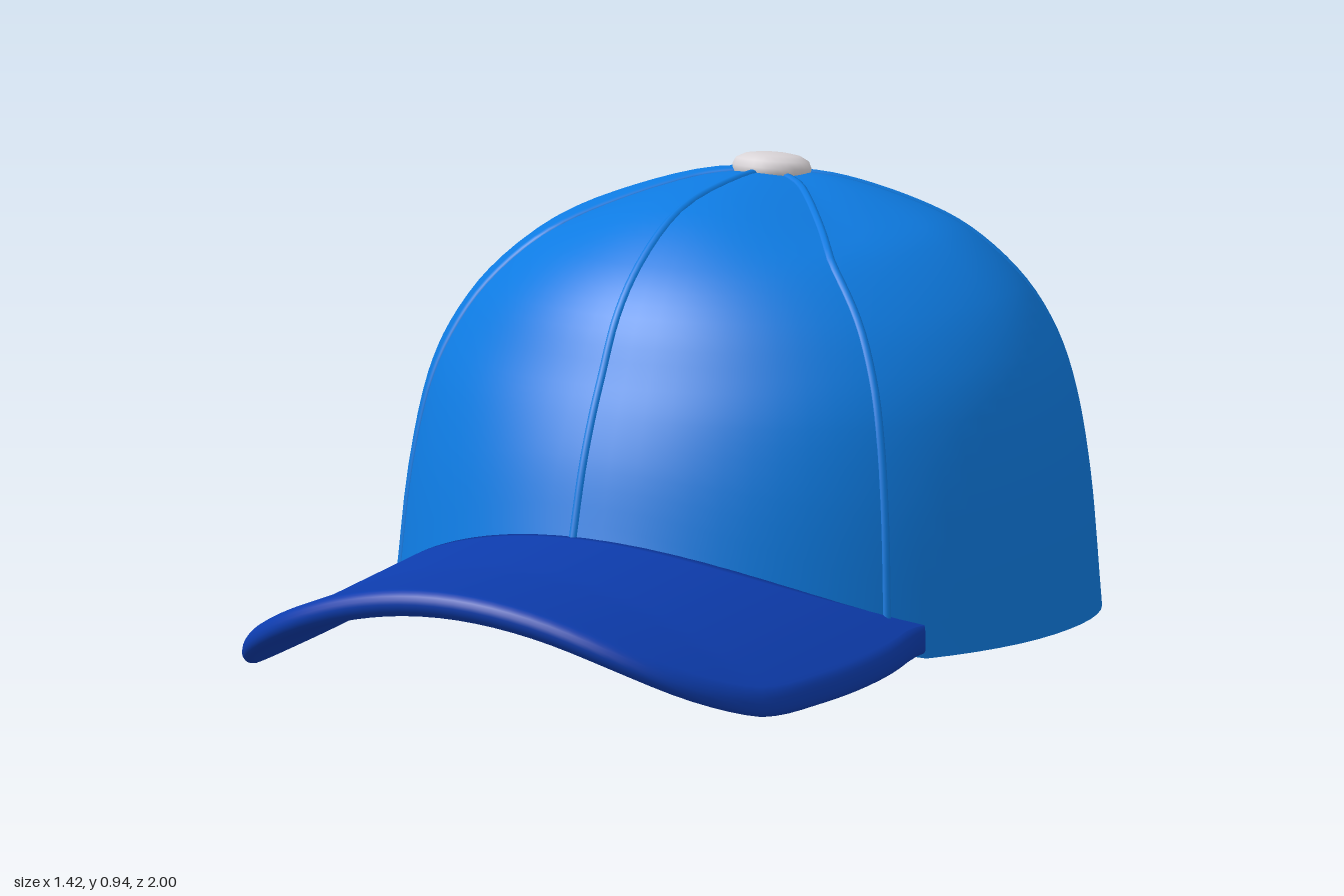
import * as THREE from 'three';
import { mergeVertices } from 'three/addons/utils/BufferGeometryUtils.js';

// Smooth surface through a grid of points fn(u, v), u and v in 0..1
function surface(fn, nu, nv, flip) {
  const pos = [], idx = [];
  for (let i = 0; i <= nu; i++)
    for (let j = 0; j <= nv; j++) pos.push(...fn(i / nu, j / nv).toArray());
  for (let i = 0; i < nu; i++)
    for (let j = 0; j < nv; j++) {
      const a = i * (nv + 1) + j, b = a + nv + 1;
      if (flip) idx.push(a, b + 1, b, a, a + 1, b + 1);
      else idx.push(a, b, b + 1, a, b + 1, a + 1);
    }
  let g = new THREE.BufferGeometry();
  g.setAttribute('position', new THREE.Float32BufferAttribute(pos, 3));
  g.setIndex(idx);
  g = mergeVertices(g, 1e-5);
  g.computeVertexNormals();
  return g;
}

// Crown profiles from apex to rim: [reach, height]
const curve = rows => new THREE.CatmullRomCurve3(rows.map(r => new THREE.Vector3(r[0], r[1], r[2] || 0)));
const frontLine = curve([[-.38, .91], [-.25, .915], [0, .885], [.16, .8], [.25, .71], [.31, .6], [.35, .52], [.39, .42], [.43, .28]]);
const sideLine = curve([[0, .91, -.38], [.14, .9, -.37], [.31, .85, -.36], [.42, .8, -.34], [.54, .7, -.32],
  [.61, .6, -.305], [.65, .5, -.295], [.685, .32, -.287], [.71, .04, -.285]]); // third value: centre z
const backLine = curve([[-.38, .91], [-.5, .882], [-.66, .815], [-.77, .745], [-.86, .65], [-.92, .54], [-.955, .42], [-.98, .26], [-1, .005]]);

// Crown point at angle a (0 = front) and v (0 = apex, 1 = rim)
function crownPoint(a, v, inset = 0) {
  const c = Math.cos(a), side = sideLine.getPoint(v);
  const end = (c > 0 ? frontLine : backLine).getPoint(v);
  const w = c > 0 ? Math.pow(Math.max(0, Math.cos(Math.min(Math.abs(a) * 1.5, Math.PI / 2))), 1.4) : c * c;
  const k = 1 - inset / .71;
  return new THREE.Vector3(
    side.x * Math.sin(a) * k,
    side.y + (end.y - side.y) * w - inset * (1 - v),
    side.z + Math.abs(end.x - side.z) * c * k);
}

// Brim outline, one side then mirrored
const half = [[-.615, .075], [-.63, .25], [-.622, .5], [-.59, .72], [-.5, .87], [-.38, .945], [-.2, .982]];
const outline = new THREE.CatmullRomCurve3(
  [...half, [0, .992], ...half.map(p => [-p[0], p[1]]).reverse()].map(p => new THREE.Vector3(p[0], 0, p[1])));
const brimHeight = (x, z) => .24 - .205 * (x / .6) ** 2 + .08 * Math.max(0, .7 - z);

// Brim section: over the top, round the edge, back underneath, closed at the root
function brimPoint(u, v) {
  const a = (u * 2 - 1) * Math.PI / 3, T = .028;
  const root = new THREE.Vector3(.697 * Math.sin(a), 0, -.285 + .7 * Math.cos(a));
  const edge = outline.getPointAt(u);
  const len = Math.max(root.distanceTo(edge), 1e-4);
  const round = Math.min(.03, len * .5);
  let dist, h;
  if (v <= .4) { dist = (len - round) * v / .4; h = T; }
  else if (v < .6) {
    const t = (v - .4) / .2 * Math.PI;
    dist = len - round + round * Math.sin(t);
    h = T * Math.cos(t);
  } else if (v < .99) { dist = (len - round) * (.96 - Math.min(v, .96)) / .36; h = -T; }
  else { dist = 0; h = T; }
  const p = root.lerp(edge, dist / len);
  p.y = brimHeight(p.x, p.z) + h;
  return p;
}

export function createModel() {
  const group = new THREE.Group();
  const mat = (name, color) => Object.assign(new THREE.MeshStandardMaterial({ color }), { name });
  const crownBlue = mat('crownBlue', 0x0e7be2);
  const brimBlue = mat('brimBlue', 0x0d3cad);
  const buttonGrey = mat('buttonGrey', 0xdad5d8);
  const add = (name, geometry, material) => {
    const m = new THREE.Mesh(geometry, material);
    m.name = name;
    group.add(m);
    return m;
  };
  const angle = u => (u * 2 - 1) * Math.PI;
  const wall = .025;

  // Shell, inner lining and the rim joining them
  add('crown', surface((u, v) => crownPoint(angle(u), v), 72, 32, true), crownBlue);
  add('lining', surface((u, v) => crownPoint(angle(u), v, wall), 72, 32, false), brimBlue);
  add('rim', surface((u, v) => crownPoint(angle(u), 1, wall * v), 72, 1, true), crownBlue);

  // Six raised panel seams
  for (const deg of [0, 53, 128, 180, -128, -53]) {
    const pts = [];
    for (let i = 0; i <= 20; i++) pts.push(crownPoint(deg * Math.PI / 180, .03 + .965 * i / 20, .004));
    add('seam', new THREE.TubeGeometry(new THREE.CatmullRomCurve3(pts), 40, .01, 8), crownBlue);
  }

  // Curved brim
  add('brim', surface(brimPoint, 64, 50, true), brimBlue);

  // Top button, tilted with the crown
  const profile = [[.07, -.025], [.078, -.012], [.08, 0], [.074, .014], [.055, .024], [.03, .028], [0, .029]];
  const button = add('button', new THREE.LatheGeometry(profile.map(p => new THREE.Vector2(...p)), 28), buttonGrey);
  button.position.set(0, .914, -.383);
  button.rotation.x = -.14;
  return group;
}
